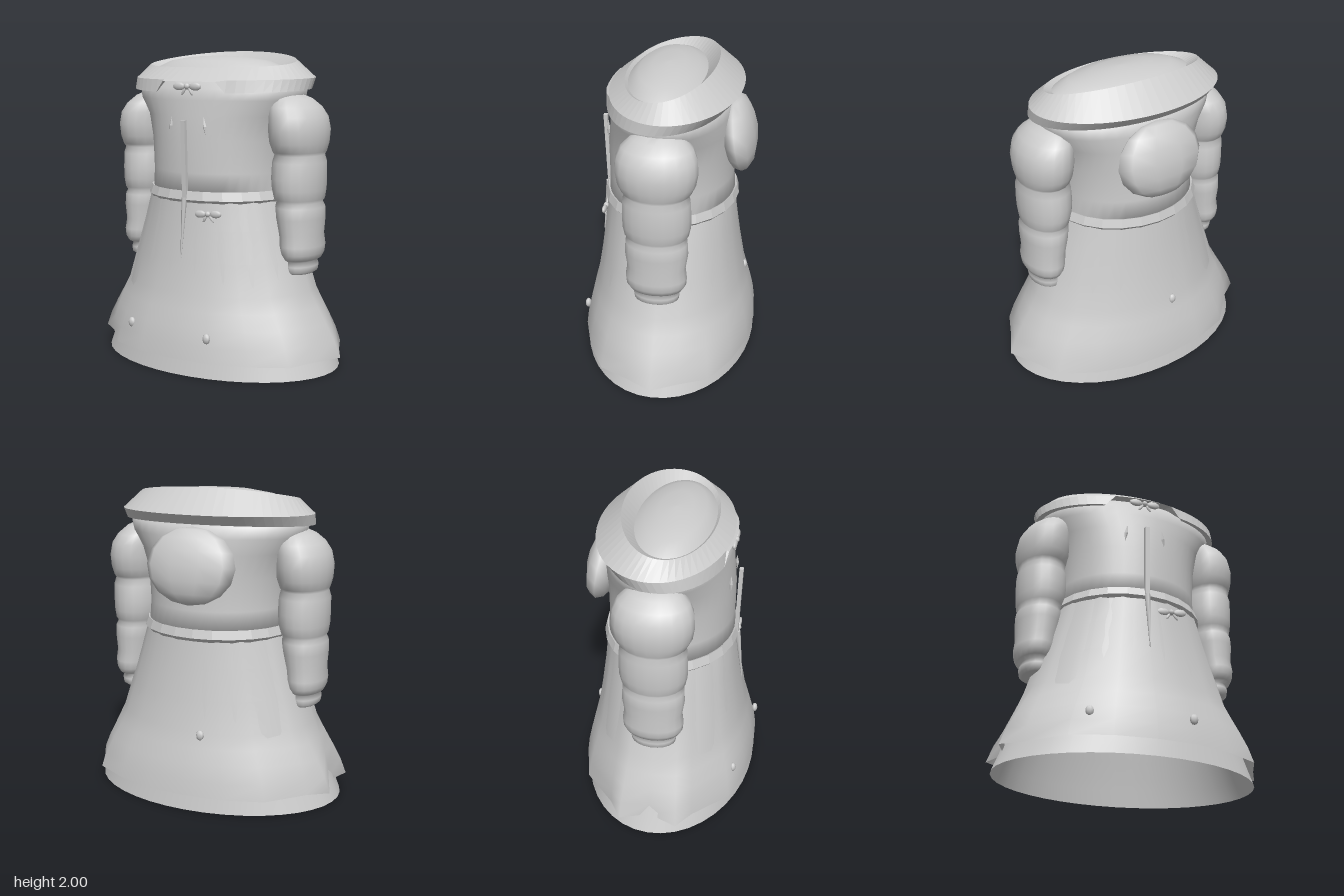
import * as THREE from 'three';

const CX = -0.025; // centre line of the garment

export function createModel() {
  const model = new THREE.Group();
  const cloth = new THREE.MeshStandardMaterial({ color: 0xcccccc, side: THREE.DoubleSide });
  cloth.name = 'grey cloth';

  function add(name, geometry, x = 0, y = 0, z = 0, parent = model) {
    const mesh = new THREE.Mesh(geometry, cloth);
    mesh.name = name;
    mesh.position.set(x, y, z);
    parent.add(mesh);
    return mesh;
  }

  // Skin between closed rings of points, listed from bottom to top
  function loft(rings, { flat = false, capped = false, loop = false } = {}) {
    const n = rings[0].length, pos = rings.flat(2), idx = [];
    const last = loop ? rings.length : rings.length - 1;
    for (let r = 0; r < last; r++) {
      for (let i = 0; i < n; i++) {
        const j = (i + 1) % n, a = r * n, b = ((r + 1) % rings.length) * n;
        idx.push(a + i, b + i, a + j, a + j, b + i, b + j);
      }
    }
    if (capped) {
      const top = (rings.length - 1) * n;
      for (let i = 1; i < n - 1; i++) idx.push(0, i, i + 1, top, top + i + 1, top + i);
    }
    let g = new THREE.BufferGeometry();
    g.setAttribute('position', new THREE.Float32BufferAttribute(pos, 3));
    g.setIndex(idx);
    if (flat) g = g.toNonIndexed();
    g.computeVertexNormals();
    return g;
  }

  function ellipse(cx, y, cz, rx, rz, n) {
    return Array.from({ length: n }, (_, i) => {
      const a = (i / n) * Math.PI * 2;
      return [cx + rx * Math.cos(a), y, cz + rz * Math.sin(a)];
    });
  }

  // Skirt: height, half width, half depth
  const skirt = [[0, 0.835, 0.57], [0.1, 0.795, 0.555], [0.2, 0.757, 0.54], [0.3, 0.72, 0.522], [0.4, 0.688, 0.505],
    [0.5, 0.655, 0.488], [0.7, 0.595, 0.457], [0.9, 0.53, 0.43], [1.1, 0.47, 0.41]];
  add('skirt', loft(skirt.map(([y, rx, rz]) => ellipse(CX, y, 0, rx, rz, 40))));

  // Overskirt flaring into pointed side pleats
  const half = [[0.86, 0], [0.77, 0.17], [0.69, 0.35], [0.47, 0.475], [0.23, 0.555], [-0.02, 0.575],
    [-0.28, 0.555], [-0.53, 0.48], [-0.735, 0.27], [-0.86, 0.185], [-0.79, 0]];
  const hem = [...half, ...half.slice(1, -1).reverse().map(([x, z]) => [x, -z])];
  const over = skirt.slice(1).map(([y, rx, rz]) => {
    const t = Math.max(0, (0.55 - y) / 0.45) ** 1.7;
    return hem.map(([x, z]) => {
      const a = Math.atan2(z / 0.57, (x - CX) / 0.835);
      const ex = CX + rx * 1.01 * Math.cos(a), ez = rz * 1.01 * Math.sin(a);
      return [ex + (x - ex) * t, y, ez + (z - ez) * t];
    });
  });
  add('overskirt', loft(over));

  // Bodice closing in a low dome inside the collar
  const bodice = [[1.08, 0.465, 0.41, -0.005], [1.25, 0.455, 0.40, 0], [1.45, 0.465, 0.40, 0], [1.6, 0.51, 0.395, -0.01],
    [1.7, 0.58, 0.385, -0.01], [1.77, 0.595, 0.375, -0.01], [1.84, 0.54, 0.305, 0], [1.9, 0.46, 0.235, 0.01],
    [1.94, 0.36, 0.18, 0.02], [1.965, 0.2, 0.1, 0.02], [1.972, 0.01, 0.01, 0.02]];
  add('bodice', loft(bodice.map(([y, rx, rz, cz]) => ellipse(CX, y, cz, rx, rz, 40)), { capped: true }));

  // Waist belt with a triangular section
  const belt = [[1.04, 0.455, 0.395], [1.085, 0.495, 0.435], [1.14, 0.475, 0.42], [1.12, 0.43, 0.38]];
  add('belt', loft(belt.map(([y, rx, rz]) => ellipse(CX, y, -0.003, rx, rz, 24)), { flat: true, loop: true }));

  // Tilted collar, notched at the front: half width, half depth, centre z, height, tilt, curve
  const collar = [[0.54, 0.35, 0, 1.77, -0.01, 0], [0.63, 0.395, 0, 1.765, -0.02, 0],
    [0.635, 0.415, -0.035, 1.835, -0.012, 0], [0.53, 0.285, -0.005, 1.93, -0.05, 0.02],
    [0.45, 0.23, 0.015, 1.885, -0.02, 0]];
  const rim = collar.map(([rx, rz, cz, h, tilt, curve], k) =>
    ellipse(CX, h, cz, rx, rz, 60).map(([x, y, z]) => {
      const s = (z - cz) / rz;
      const notch = k < 2 && s > 0 && Math.abs(x - CX) < 0.225;
      return [x, notch ? 1.815 : y + tilt * s + curve * s * s, z];
    }));
  add('collar', loft(rim, { flat: true, loop: true }));

  // Puffed sleeves: height, distance from centre line, half width, half depth
  const sleeve = [[0.62, 0.60, 0.075, 0.12], [0.635, 0.60, 0.095, 0.14], [0.67, 0.60, 0.10, 0.145],
    [0.70, 0.60, 0.09, 0.135], [0.715, 0.61, 0.105, 0.165], [0.75, 0.61, 0.122, 0.187], [0.80, 0.608, 0.13, 0.192],
    [0.87, 0.60, 0.13, 0.182], [0.97, 0.595, 0.142, 0.197], [1.04, 0.59, 0.145, 0.192], [1.07, 0.585, 0.135, 0.178],
    [1.09, 0.585, 0.147, 0.197], [1.15, 0.582, 0.158, 0.21], [1.22, 0.58, 0.163, 0.212], [1.32, 0.582, 0.16, 0.207],
    [1.365, 0.582, 0.147, 0.19], [1.385, 0.582, 0.155, 0.212], [1.44, 0.58, 0.17, 0.237],
    [1.52, 0.578, 0.177, 0.25], [1.6, 0.57, 0.168, 0.243], [1.66, 0.55, 0.148, 0.215], [1.71, 0.525, 0.115, 0.16],
    [1.74, 0.5, 0.07, 0.10]];
  for (const side of [-1, 1]) {
    add(side > 0 ? 'leftSleeve' : 'rightSleeve', loft(
      sleeve.map(([y, d, rx, rz]) => ellipse(CX + side * d, y, 0, rx, rz, 20)), { capped: true }));
  }

  // Rounded pouch on the back, its top leaning in
  const pouch = add('backPouch', new THREE.SphereGeometry(1, 10, 8), CX + 0.01, 1.535, -0.43);
  pouch.scale.set(0.295, 0.24, 0.11);
  pouch.rotation.x = 0.17;

  // Front fastening: straight strip above the belt, tapering tail below
  const strip = add('frontStrip', new THREE.BoxGeometry(0.03, 0.48, 0.025), CX, 1.34, 0.424);
  strip.rotation.x = 0.03;
  const tail = add('stripTail', new THREE.CylinderGeometry(0.018, 0.003, 0.38, 6), CX, 0.91, 0.447);
  tail.rotation.x = -0.11;

  // Small slits beside the strip
  for (const side of [-1, 1]) {
    const slit = add('chestSlit', new THREE.OctahedronGeometry(1), CX + side * 0.127, 1.54, 0.385);
    slit.scale.set(0.012, 0.06, 0.012);
    slit.rotation.z = side * 0.12;
  }

  // Bows: two loops, a knot and two tails
  function bow(name, x, y, z, size, turn) {
    const g = new THREE.Group();
    g.name = name;
    g.position.set(x, y, z);
    g.rotation.z = turn;
    add('bowKnot', new THREE.SphereGeometry(size * 0.2, 8, 6), 0, 0, 0, g);
    for (const side of [-1, 1]) {
      add('bowLoop', new THREE.SphereGeometry(1, 10, 6), side * size * 0.6, 0, 0, g)
        .scale.set(size * 0.45, size * 0.25, size * 0.15);
      const end = add('bowTail', new THREE.SphereGeometry(1, 6, 5), side * size * 0.25, -size * 0.3, 0, g);
      end.scale.set(size * 0.1, size * 0.3, size * 0.08);
      end.rotation.z = side * 0.6;
    }
    model.add(g);
  }
  bow('collarBow', CX, 1.785, 0.39, 0.1, 0);
  bow('waistBow', 0.14, 1.005, 0.41, 0.095, 0.06);

  // Skirt buttons
  for (const [x, y, z] of [[-0.405, 0.255, 0.485], [0.215, 0.255, 0.545], [-0.1, 0.48, -0.49]]) {
    add('button', new THREE.SphereGeometry(1, 8, 6), x, y, z).scale.set(0.027, 0.033, 0.02);
  }

  return model;
}
